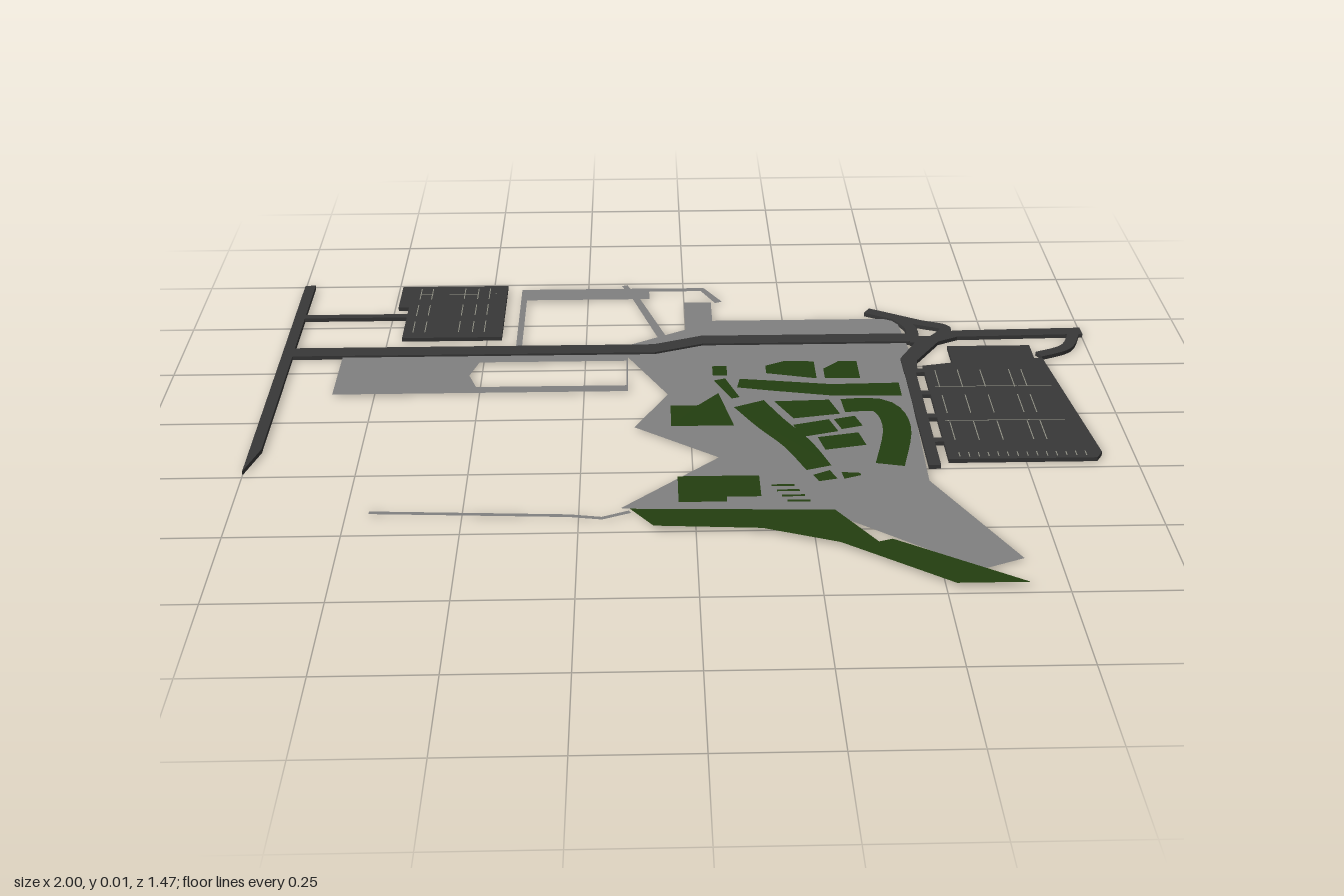
import * as THREE from 'three';

const mat = (color, side = THREE.FrontSide) =>
  new THREE.MeshStandardMaterial({ color, side, flatShading: true });
const paving = mat(0x808080, THREE.DoubleSide);
const grass = mat(0x233f10, THREE.DoubleSide);
const asphalt = mat(0x383838);
const paint = mat(0x8c8c80, THREE.DoubleSide);

// Plan points are [x, z] in hundredths of a unit.
const toVec = ([x, z]) => new THREE.Vector2(x / 100, -z / 100);
const rect = (x0, z0, x1, z1) => [[x0, z0], [x1, z0], [x1, z1], [x0, z1]];

// Outline of a strip along a path, tapering from one width to another.
function strip(path, width, endWidth = width) {
  const left = [], right = [], last = path.length - 1;
  path.forEach(([x, z], i) => {
    const a = path[Math.max(i - 1, 0)], b = path[Math.min(i + 1, last)];
    const dx = b[0] - a[0], dz = b[1] - a[1];
    const k = THREE.MathUtils.lerp(width, endWidth, i / last) / 2 / Math.hypot(dx, dz);
    left.push([x - dz * k, z + dx * k]);
    right.unshift([x + dz * k, z - dx * k]);
  });
  return left.concat(right);
}

// Smooth path through a few plan points.
function smooth(points) {
  const curve = new THREE.SplineCurve(points.map(p => new THREE.Vector2(...p)));
  return curve.getPoints(14).map(p => [p.x, p.y]);
}

export function createModel() {
  const model = new THREE.Group();

  function add(name, material, outline, y, depth = 0, holes = []) {
    const shape = new THREE.Shape(outline.map(toVec));
    shape.holes = holes.map(h => new THREE.Path(h.map(toVec)));
    const geo = depth
      ? new THREE.ExtrudeGeometry(shape, { depth, bevelEnabled: false })
      : new THREE.ShapeGeometry(shape);
    geo.rotateX(-Math.PI / 2);
    const mesh = new THREE.Mesh(geo, material);
    mesh.name = name;
    mesh.position.y = y;
    model.add(mesh);
  }
  const pave = (name, outline, holes) => add(name, paving, outline, 0.005, 0, holes);
  const road = (name, outline) => add(name, asphalt, outline, 0, 0.01);
  const lawn = (name, outline) => add(name, grass, outline, 0.0125);
  const line = outline => add('parkingLine', paint, outline, 0.0106);

  // Plaza, and the western forecourt with its opening
  pave('plaza', [[-17, -36], [0, -46], [0, -62], [7, -62], [7, -51], [54, -51], [56, -25], [53, -20],
    [52, 31], [67.5, 63], [58, 67], [30, 45], [-16, 41], [6, 19.5], [-13, 5], [-5, -11]]);
  pave('forecourt', rect(-85, -34, -14.5, -13),
    [[[-51, -29], [-14.9, -29], [-14.9, -16], [-51, -16], [-53, -22]]]);

  // Footpaths
  pave('northWalk', rect(-42.5, -71, -9, -64.5));
  pave('westWalk', rect(-42.5, -65, -41, -36));
  pave('eastWalk', strip([[-9, -70], [5, -70], [9, -62]], 2));
  pave('diagonalWalk', strip([[-15.5, -73], [-12.5, -65], [-6, -42]], 1.5, 2.2));
  pave('westTrail', strip([[-70, 41.5], [-27, 43.8], [-20, 45], [-14, 42.5]], 1.1));

  // Main road and the western cross street
  road('mainRoad', strip([[-98, -34.7], [-8, -34.7], [4, -39.2], [57, -39.2]], 4.5));
  road('crossStreet', [[-100, -74], [-97.3, -74], [-97.3, 14], [-100, 24]]);
  road('westAccess', rect(-98, -56, -71, -54));

  // Eastern junction
  road('junctionCurve', strip(smooth([[47, -55], [59, -48], [66, -44], [60, -36]]), 3));
  road('junctionLink', strip(smooth([[54, -51], [57, -45], [57, -38]]), 3));
  road('eastRoad', strip([[56, -38], [62, -38], [68, -41], [100, -41.8]], 3.6));
  road('eastLoop', strip(smooth([[98, -41], [94.5, -33], [87, -29]]), 2.8));
  road('southBend', strip([[61, -38], [54.5, -27], [54.2, -20]], 5, 3.2));
  road('southRoad', rect(52.7, -22, 55.4, 25));

  // Parking lots and their entrances
  road('westLot', rect(-71.3, -72.5, -46.3, -42));
  road('westLotBay', rect(-74, -72.5, -71.3, -60));
  road('eastLot', [[57.5, -23.5], [65, -25], [87.5, -27], [92.5, 20], [91, 22.5], [57.5, 22.5]]);
  road('eastLotBay', rect(65, -34, 85.5, -25));
  for (const z of [-21, -9.5, 2, 13.5]) road('lotEntrance', rect(54, z - 1, 59, z + 1));

  // Parking bay lines: rows of short dashes, cross lines and end ticks
  function bayLines(columns, firstRow, pitch, length) {
    for (const x of columns)
      for (let row = 0; row < 3; row++) {
        const z = firstRow + row * pitch;
        line(rect(x, z, x + 0.25, z + length));
      }
  }
  bayLines([-69, -66, -57.5, -54, -51], -71, 9.8, 6.5);
  bayLines([60, 65.5, 71, 78, 81], -21, 13, 9);
  line(rect(-69, -67.6, -49, -67.4));
  for (const z of [-12.5, 4.5]) line(rect(59, z, 87, z + 0.25));
  for (let x = 60; x < 90; x += 2.2) line(rect(x, 19.5, x + 0.25, 21.5));

  // Southern green belt
  lawn('greenBelt', [[-14, 42.5], [30, 44], [38, 57], [41, 56], [67, 73], [52, 73], [30, 57],
    [14, 51], [-9, 49.5]]);

  // Western lawns
  lawn('westLawn', [[-4.5, -4], [2, -4], [7, -10], [10, 6], [-4.5, 6]]);
  lawn('smallLawn', rect(6, -24, 9.5, -19));
  lawn('narrowLawn', strip([[7.5, -17], [11, -7.5]], 3, 2));
  lawn('southLawn', rect(-3.5, 29, 14.5, 38));
  lawn('southLawnEdge', rect(-3.5, 38, 7, 40));

  // Central lawns, wrapped around a cluster of four small beds
  lawn('northLawn', [[19, -24], [24, -26.5], [31, -26], [31, -17], [19, -20]]);
  lawn('northLawn', [[33, -22], [37, -26], [41.5, -26], [41.5, -17], [33, -17]]);
  lawn('crossLawn', strip([[12, -15], [20, -13.5], [34, -11], [50.5, -11]], 4.5, 6.5));
  lawn('innerLawn', strip(smooth([[14, -4.5], [18.5, 5], [24, 15], [28, 26]]), 8, 6));
  lawn('eastLawn', strip(smooth([[36, -3], [45, -2.5], [47.5, 8], [44, 25]]), 6.5));
  lawn('clusterBed', [[20, -5.5], [33, -6], [35, 1], [24, 3]]);
  lawn('clusterBed', strip([[24.5, 9], [33, 6.5]], 6));
  lawn('clusterBed', strip([[29.5, 15], [39, 13]], 6));
  lawn('clusterBed', strip([[34, 6], [39, 4.5]], 5));

  // Low hedges and corner beds in the south
  lawn('cornerBed', strip([[27, 30.5], [31, 29]], 3, 4));
  lawn('cornerBed', strip([[33, 29.5], [37, 29]], 3, 1));
  for (let i = 0; i < 4; i++) lawn('hedgeRow', rect(17 + i, 33 + i * 2.2, 22 + i, 33.8 + i * 2.2));

  return model;
}
